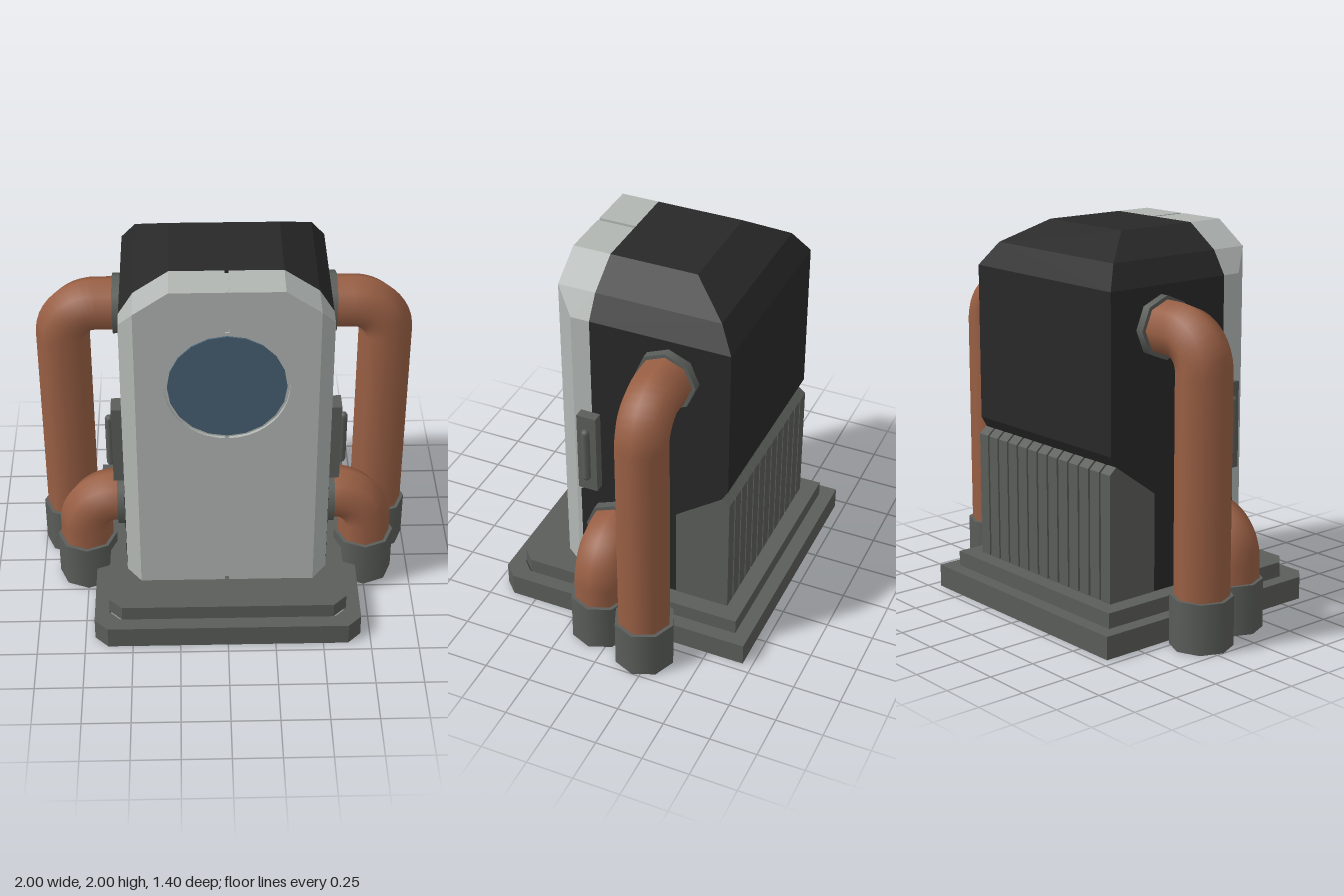
import * as THREE from 'three';
import { ConvexGeometry } from 'three/addons/geometries/ConvexGeometry.js';

const material = (name, color, extra = {}) => {
  const m = new THREE.MeshStandardMaterial({ color, ...extra });
  m.name = name;
  return m;
};

export function createModel() {
  const shellGrey = material('pale shell grey', 0xb1b6b3);
  const black = material('casing black', 0x282828);
  const metal = material('dark metal', 0x5a5d59, { side: THREE.DoubleSide });
  const copper = material('copper', 0x995f44, { side: THREE.DoubleSide });
  const glass = material('blue glass', 0x465f73);

  const model = new THREE.Group();
  model.name = 'pipedMachine';
  const add = (name, geometry, mat, x = 0, y = 0, z = 0) => {
    const mesh = new THREE.Mesh(geometry, mat);
    mesh.name = name;
    mesh.position.set(x, y, z);
    model.add(mesh);
  };
  const toPoints = (list) => list.map(([x, y]) => new THREE.Vector2(x, y));

  // Outline on the ground, raised to a height, with an optional hole
  const slab = (outline, height, hole) => {
    const shape = new THREE.Shape(toPoints(outline));
    if (hole) shape.holes.push(new THREE.Path(toPoints(hole)));
    return new THREE.ExtrudeGeometry(shape, { depth: height, bevelEnabled: false }).rotateX(-Math.PI / 2);
  };
  // Side profile of [z, y] points, extruded across x and centred
  const acrossX = (profile, width) =>
    new THREE.ExtrudeGeometry(new THREE.Shape(toPoints(profile)), { depth: width, bevelEnabled: false })
      .translate(0, 0, -width / 2)
      .rotateY(-Math.PI / 2);
  // Square with its two front corners cut
  const plate = (r, c = 0.07) => [[-r + c, -r], [r - c, -r], [r, -r + c], [r, r], [-r, r], [-r, -r + c]];

  // Stepped base, hollow underneath
  add('lowerBase', slab(plate(0.7), 0.12, plate(0.625, 0.06)), metal);
  add('upperBase', slab(plate(0.625), 0.08), metal, 0, 0.12);
  add('baseFloor', slab(plate(0.58, 0.05), 0.04), black, 0, 0.08);

  // Black casing with hipped top and undercut back
  const casing = [];
  for (const s of [-1, 1]) {
    for (const [x, y, z] of [[0.28, 2, -0.25], [0.455, 1.88, -0.45], [0.53, 1.76, -0.53],
      [0.53, 0.95, -0.53], [0.53, 0.89, -0.495], [0.53, 0.71, -0.25]]) {
      casing.push(new THREE.Vector3(s * x, y, z), new THREE.Vector3(s * x, y, 0.21));
    }
  }
  add('casing', new ConvexGeometry(casing), black);
  add('lowerCasing', new THREE.BoxGeometry(1.06, 0.6, 0.47), black, 0, 0.5, -0.025);
  add('casingFrontStep', acrossX([[0.2, 0.2], [0.285, 0.2], [0.285, 0.71], [0.21, 0.77], [0.2, 0.77]], 1.066), black);

  // Pale front shell: two halves with a centre seam and a round opening, plus cut-corner sides
  const opening = 0.31;
  const gapAngle = Math.PI / 2 - Math.asin(0.01 / opening);
  const halfPanel = new THREE.Shape(toPoints([[0.01, 0.2], [0.455, 0.2], [0.455, 1.88], [0.28, 2], [0.01, 2]]));
  halfPanel.absarc(0, 1.45, opening, gapAngle, -gapAngle, true);
  const panelOutline = halfPanel.getPoints(10);
  for (const s of [-1, 1]) {
    const outline = panelOutline.map((p) => new THREE.Vector2(s * p.x, p.y));
    add(s > 0 ? 'leftFrontShell' : 'rightFrontShell',
      new THREE.ExtrudeGeometry(new THREE.Shape(outline), { depth: 0.2, bevelEnabled: false }), shellGrey, 0, 0, 0.21);
    const side = [
      [0.455, 0.2, 0.41], [0.455, 1.88, 0.41], [0.53, 0.2, 0.31], [0.53, 1.76, 0.31],
      [0.455, 0.2, 0.21], [0.455, 1.88, 0.21], [0.53, 0.2, 0.21], [0.53, 1.76, 0.21],
    ].map(([x, y, z]) => new THREE.Vector3(s * x, y, z));
    add('shellSide', new ConvexGeometry(side), shellGrey);
  }
  add('shellSeam', new THREE.BoxGeometry(0.022, 1.785, 0.175), shellGrey, 0, 1.0925, 0.2975);

  // Round window set into the opening
  const disc = (r, h) => new THREE.CylinderGeometry(r, r, h, 20).rotateX(Math.PI / 2);
  add('windowRim', disc(0.312, 0.009), shellGrey, 0, 1.45, 0.39);
  add('windowGlass', disc(0.296, 0.009), glass, 0, 1.45, 0.401);

  // Ribbed vent under the back overhang
  const vent = (inset) => [[-0.25, 0.2], [-0.25, 0.715 - inset], [-0.5, 0.895 - inset],
    [-0.54 + inset, 0.86 - inset], [-0.54 + inset, 0.2]].reverse();
  add('ventCore', acrossX(vent(0.012), 1.04), black);
  const ribs = 13;
  for (let i = 0; i < ribs; i++) {
    add('ventRib', acrossX(vent(0), 0.07), metal, -0.498 + (0.996 * i) / (ribs - 1));
  }

  // Elbow pipe with wall collar and hollow floor socket
  const addPipe = (side, x, y, z, bend) => {
    const path = new THREE.CurvePath();
    const at = (px, py) => new THREE.Vector3(side * px, py, z);
    const k = bend * 0.448;
    path.add(new THREE.LineCurve3(at(0.5, y), at(x - bend, y)));
    path.add(new THREE.CubicBezierCurve3(at(x - bend, y), at(x - k, y), at(x, y - k), at(x, y - bend)));
    path.add(new THREE.LineCurve3(at(x, y - bend), at(x, 0.13)));
    add('pipe', new THREE.TubeGeometry(path, 64, 0.14, 8), copper);
    add('pipeCollar', new THREE.CylinderGeometry(0.16, 0.16, 0.06, 8).rotateZ(Math.PI / 2), metal, side * 0.545, y, z);
    for (const r of [0.16, 0.138]) {
      add('socketWall', new THREE.CylinderGeometry(r, r, 0.26, 8, 1, true), metal, side * x, 0.13, z);
    }
    add('socketTop', new THREE.RingGeometry(0.138, 0.16, 8).rotateX(-Math.PI / 2), metal, side * x, 0.26, z);
    add('socketBottom', new THREE.RingGeometry(0.138, 0.16, 8).rotateX(Math.PI / 2), metal, side * x, 0, z);
  };

  for (const side of [-1, 1]) {
    addPipe(side, 0.84, 1.555, -0.21, 0.175);
    addPipe(side, 0.75, 0.53, 0.08, 0.17);
    // Side latch with rounded handle
    add('latchPlate', new THREE.BoxGeometry(0.065, 0.45, 0.105), metal, side * 0.553, 0.995, 0.218);
    add('latchHandle', new THREE.CapsuleGeometry(0.022, 0.27, 4, 10), metal, side * 0.597, 0.995, 0.218);
  }
  return model;
}
